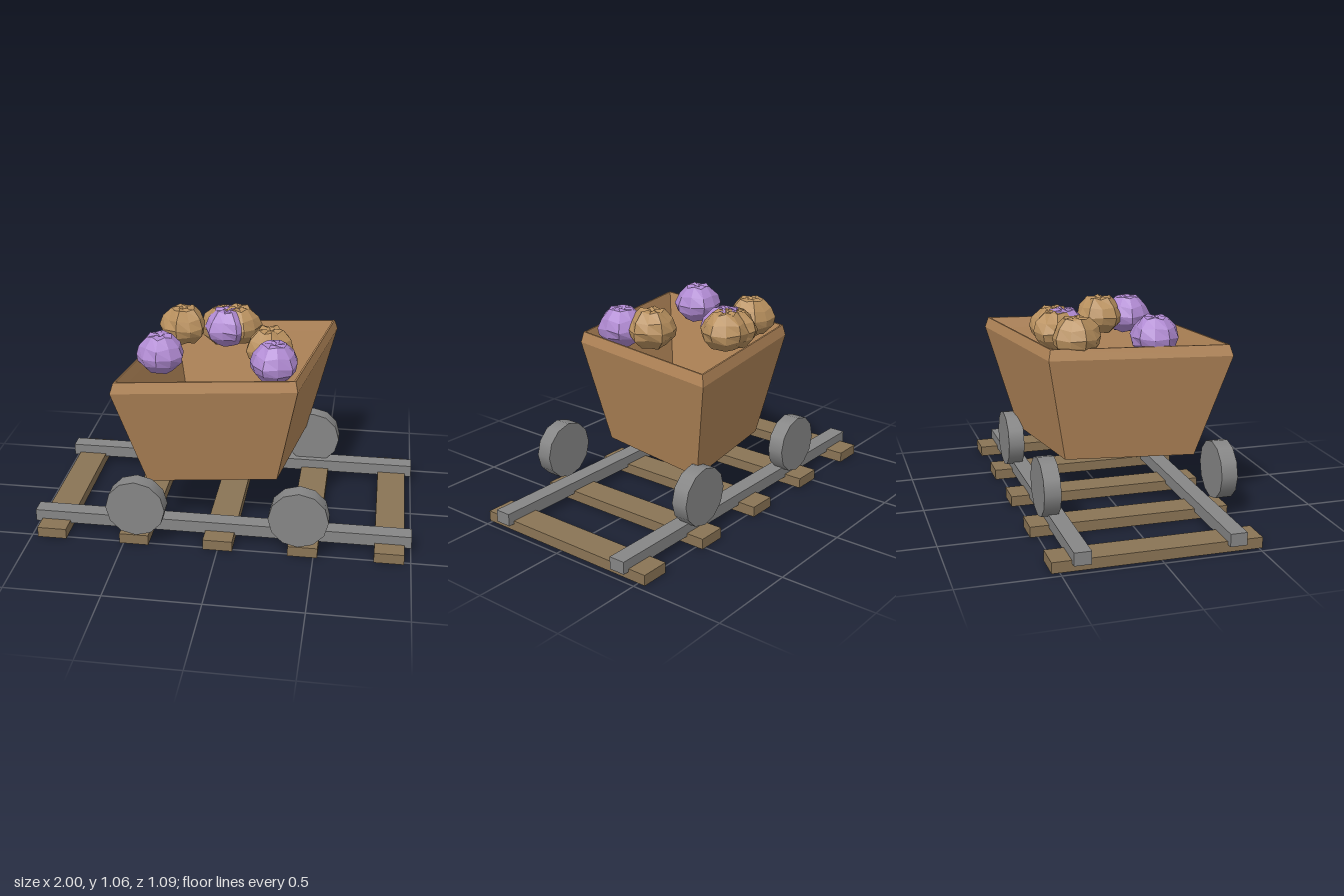
import * as THREE from 'three';

const mat = (name, color) => Object.assign(new THREE.MeshStandardMaterial({ color }), { name });

// Faceted normals for low-poly parts
function faceted(geo) {
  const g = geo.toNonIndexed();
  g.computeVertexNormals();
  return g;
}

export function createModel() {
  const cartWood = mat('cartWood', 0xb5885a);
  const tieWood = mat('tieWood', 0x8a7455);
  const iron = mat('iron', 0x868686);
  const purple = mat('purpleGourd', 0xb08ad2);
  const tan = mat('tanGourd', 0xb8905e);
  const model = new THREE.Group();
  model.name = 'mineCart';

  const add = (name, geo, material, x, y, z) => {
    const mesh = new THREE.Mesh(geo, material);
    mesh.name = name;
    mesh.position.set(x, y, z);
    model.add(mesh);
    return mesh;
  };

  // Track: five ties under two rails
  const tieGeo = new THREE.BoxGeometry(0.155, 0.056, 1.058);
  for (let i = -2; i <= 2; i++) add('tie', tieGeo, tieWood, i * 0.444, 0.028, -0.011);
  const railGeo = new THREE.BoxGeometry(2, 0.066, 0.087);
  for (const z of [0.378, -0.398]) add('rail', railGeo, iron, 0, 0.073, z);

  // Wheels
  const wheelGeo = new THREE.CylinderGeometry(0.155, 0.155, 0.087, 12);
  wheelGeo.rotateX(Math.PI / 2);
  for (const x of [-0.424, 0.42])
    for (const z of [0.503, -0.433]) add('wheel', wheelGeo, iron, x, 0.23, z);

  // Cart: four-sided shell, outside up over the rim and down inside to the floor
  const shell = [[0, 0.308], [0.728, 0.308], [1, 0.862], [0.97, 0.918], [0.95, 0.918],
    [0.925, 0.862], [0.7, 0.335], [0, 0.335]].map(([r, y]) => new THREE.Vector2(r, y));
  const cartGeo = new THREE.LatheGeometry(shell, 4);
  cartGeo.scale(0.754, 1, 0.547);
  cartGeo.rotateY(Math.PI / 4);
  add('cartBody', faceted(cartGeo), cartWood, 0, 0, -0.012);

  // Gourds: squat ribbed bodies pinched at the crown
  const body = [[0, -0.1], [0.07, -0.09], [0.117, -0.04], [0.127, 0], [0.11, 0.05],
    [0.065, 0.097], [0.025, 0.1], [0, 0.088]].map(([r, y]) => new THREE.Vector2(r, y));
  const sides = 10;
  function gourdGeometry(seed) {
    const geo = new THREE.LatheGeometry(body, sides);
    const p = geo.attributes.position;
    for (let i = 0; i < p.count; i++) {
      const s = Math.floor(i / body.length) % sides, row = i % body.length;
      const crown = row > 3 ? 0.09 : 0.03;
      const k = 1 + (s % 2 ? -crown : 0.02) + 0.035 * Math.sin(s * 2.3 + row * 1.7 + seed * 4.1);
      const dy = row > 0 && row < 7 ? 0.006 * Math.sin(s * 3.1 + seed + row) : 0;
      p.setXYZ(i, p.getX(i) * k, p.getY(i) + dy, p.getZ(i) * k);
    }
    return faceted(geo);
  }
  const gourds = [
    [purple, -0.345, 0.95, 0.165], [purple, 0.25, 0.95, 0.205], [purple, -0.055, 0.957, -0.24],
    [tan, 0.21, 0.96, 0.035], [tan, -0.295, 0.957, -0.235],
    [tan, -0.078, 0.95, -0.278], [tan, 0, 0.958, -0.278],
  ];
  gourds.forEach(([m, x, y, z], i) => {
    add('gourd', gourdGeometry(i), m, x, y, z).rotation.y = i * 0.9;
  });
  return model;
}
